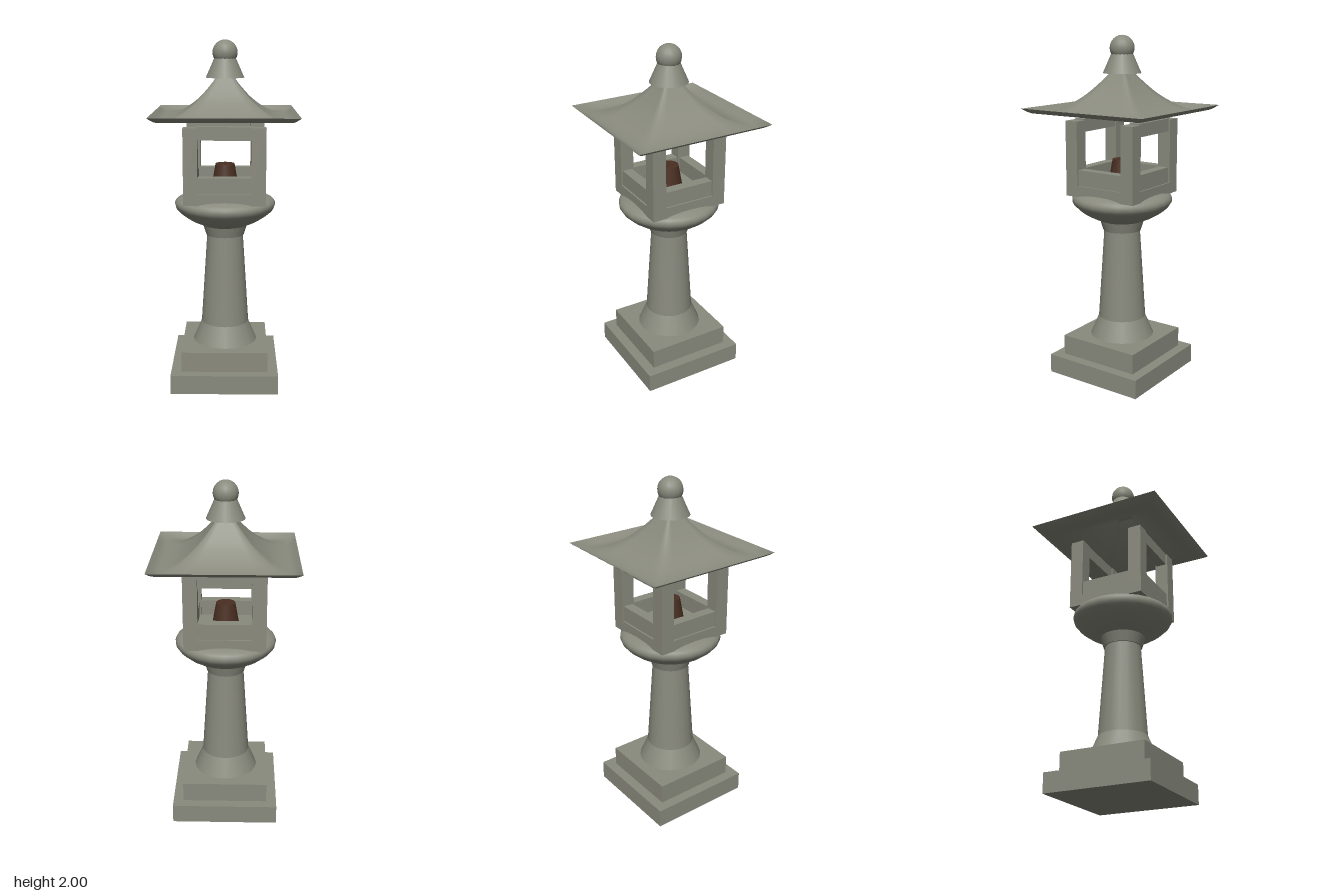
import * as THREE from 'three';

export function createModel() {
  const model = new THREE.Group();
  const stone = new THREE.MeshStandardMaterial({ color: 0x8a8b7e, side: THREE.DoubleSide });
  stone.name = 'stone';
  const wood = new THREE.MeshStandardMaterial({ color: 0x4a2f22 });
  wood.name = 'dark wood';

  const add = (name, geometry, x = 0, y = 0, z = 0, material = stone, parent = model) => {
    const mesh = new THREE.Mesh(geometry, material);
    mesh.name = name;
    mesh.position.set(x, y, z);
    parent.add(mesh);
    return mesh;
  };
  // Box given by its bottom and top heights
  const box = (name, w, y0, y1, d, x = 0, z = 0, parent = model) =>
    add(name, new THREE.BoxGeometry(w, y1 - y0, d), x, (y0 + y1) / 2, z, stone, parent);
  // Round tapered piece given by its bottom and top heights
  const taper = (name, r0, y0, r1, y1, open = true, material = stone) =>
    add(name, new THREE.CylinderGeometry(r1, r0, y1 - y0, 20, 1, open), 0, (y0 + y1) / 2, 0, material);
  const points = (list) => list.map(([r, y]) => new THREE.Vector2(r, y));

  // Stepped square base
  box('lowerStep', 0.62, 0, 0.112, 0.62);
  box('upperStep', 0.5, 0.112, 0.23, 0.5);

  // Pillar with flared foot and collar
  taper('pillarFoot', 0.19, 0.23, 0.14, 0.345);
  taper('pillar', 0.14, 0.345, 0.105, 0.885);
  taper('collar', 0.112, 0.88, 0.132, 0.945, false);

  // Rounded bowl carrying the lamp house
  const bowlProfile = new THREE.SplineCurve(points([
    [0.13, 0.94], [0.2, 0.972], [0.255, 1.01], [0.29, 1.05], [0.285, 1.088], [0.23, 1.113], [0.15, 1.12],
  ])).getPoints(18);
  add('bowl', new THREE.LatheGeometry([...bowlProfile, new THREE.Vector2(0, 1.12)], 24));

  // Lamp house: floor, corner posts, sills all round, lintels front and back
  const house = new THREE.Group();
  house.name = 'lampHouse';
  model.add(house);
  box('floor', 0.46, 1.095, 1.16, 0.46, 0, 0, house);
  for (const a of [-1, 1]) {
    for (const b of [-1, 1]) box('post', 0.08, 1.16, 1.528, 0.08, a * 0.19, b * 0.19, house);
    box('sill', 0.3, 1.16, 1.25, 0.06, 0, a * 0.19, house);
    box('sideSill', 0.06, 1.16, 1.25, 0.3, a * 0.19, 0, house);
    box('lintel', 0.31, 1.46, 1.534, 0.06, 0, a * 0.19, house);
  }

  // Lamp inside the house
  taper('lamp', 0.08, 1.16, 0.055, 1.3, false, wood);

  // Square roof sheet with upturned eaves: a lathe pushed out to a square
  const roofProfile = new THREE.SplineCurve(points([
    [0.405, 1.6], [0.36, 1.572], [0.3, 1.576], [0.24, 1.6], [0.16, 1.66], [0.1, 1.725], [0.05, 1.79],
  ])).getPoints(24);
  const roof = new THREE.LatheGeometry(roofProfile, 32);
  const p = roof.attributes.position;
  for (let i = 0; i < p.count; i++) {
    const x = p.getX(i), z = p.getZ(i);
    const k = Math.hypot(x, z) / Math.max(Math.abs(x), Math.abs(z));
    p.setX(i, x * k);
    p.setZ(i, z * k);
  }
  roof.computeVertexNormals();
  add('roof', roof);

  // Finial
  taper('finialBase', 0.109, 1.79, 0.06, 1.9, false);
  add('finialBall', new THREE.SphereGeometry(0.071, 16, 12), 0, 1.929, 0);

  return model;
}
